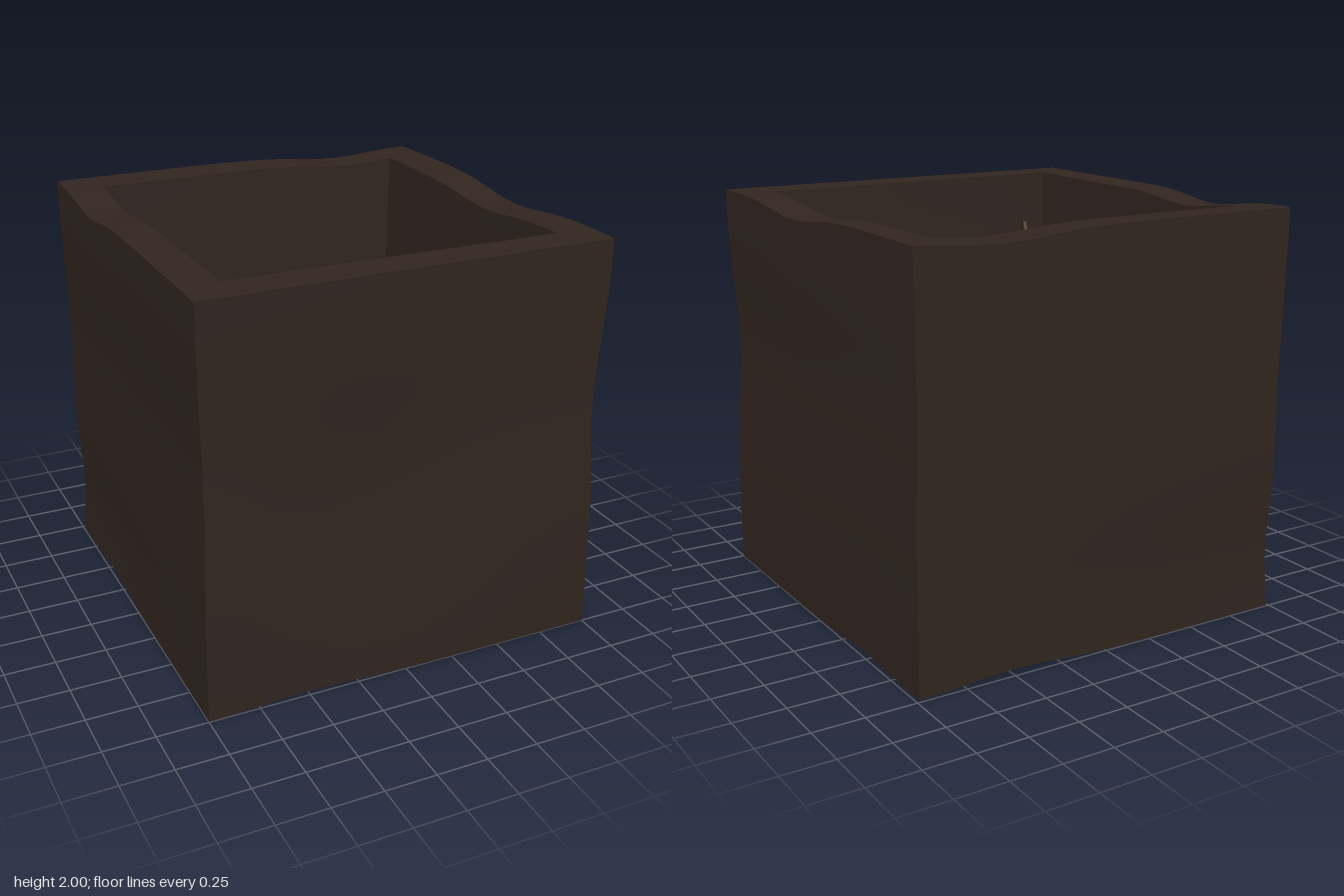
import * as THREE from 'three';

const mat = (color) => new THREE.MeshStandardMaterial({ color });
const WOOD = mat(0x32261f), STEM = mat(0x38230e);
const RED = mat(0x7c0c12), GREEN = mat(0x26dc34), LIME = mat(0x32e006);

const bump = (t, centre, width) => Math.exp(-(((t - centre) / width) ** 2));

// Hand-hewn unevenness: shallow dents in the rim, underside and sides
function warp(x, y, z) {
  const u = (x + 1) / 2, v = (z + 1) / 2, h = y / 2;
  const corner = (u * (1 - v)) ** 3;
  const rim = u * 0.05 * bump(z, 0.17, 0.34) + (1 - u) * 0.045 * bump(z, -0.45, 0.25)
    + (1 - v) * 0.035 * bump(x, 0.55, 0.3) + 0.015 * corner;
  const base = v * 0.022 * bump(x, -0.5, 0.35) + (1 - v) * 0.03 * bump(x, 0.5, 0.35)
    + u * 0.025 * bump(z, -0.5, 0.3) + (1 - u) * 0.03 * bump(z, -0.4, 0.26);
  const dentX = u * (0.012 + 0.023 * v) * bump(y, 1.2, 0.4) + 0.014 * corner
    - (1 - u) * (0.018 * bump(y, 1.15, 0.45) + 0.025 * (1 - v) * bump(y, 0.3, 0.3));
  const dentZ = v * (0.015 * bump(y, 1.25, 0.45) + 0.025 * bump(y, 0.9, 0.45) * bump(x, -0.15, 0.5))
    - (1 - v) * (0.012 * u * bump(y, 0.9, 0.5) + 0.02 * (1 - u) * bump(y, 0.3, 0.3)) - 0.008 * corner;
  return [x - dentX, y - h * rim + (1 - h) * base, z - dentZ];
}

// One crate face, placed and turned first, then warped in crate space
function face(name, w, h, centre, turnX, turnY) {
  const geo = new THREE.PlaneGeometry(w, h, Math.max(2, Math.round(w * 14)), Math.max(2, Math.round(h * 14)));
  geo.rotateX(turnX).rotateY(turnY).translate(...centre);
  const p = geo.attributes.position;
  for (let i = 0; i < p.count; i++) p.setXYZ(i, ...warp(p.getX(i), p.getY(i), p.getZ(i)));
  geo.computeVertexNormals();
  const mesh = new THREE.Mesh(geo, WOOD);
  mesh.name = name;
  return mesh;
}

// Apple body: soft dimple at both ends, slightly narrower front to back
const profile = new THREE.SplineCurve([
  [0, -0.25], [0.08, -0.28], [0.2, -0.27], [0.33, -0.14], [0.392, 0.04],
  [0.355, 0.17], [0.26, 0.255], [0.17, 0.272], [0.08, 0.255], [0, 0.24],
].map(([r, y]) => new THREE.Vector2(r, y)));
const appleGeo = new THREE.LatheGeometry(
  profile.getPoints(36).map((q) => new THREE.Vector2(Math.max(0, q.x), q.y)), 48);
appleGeo.scale(1, 1, 0.955);

// Stem leaning forwards
const stemGeo = new THREE.CylinderGeometry(0.02, 0.018, 0.24, 10);
stemGeo.rotateX(0.27).translate(0, 0.305, 0.045);

function apple(name, material, position, tilt = [0, 0, 0]) {
  const g = new THREE.Group();
  g.name = name;
  const body = new THREE.Mesh(appleGeo, material);
  body.name = 'appleBody';
  const stem = new THREE.Mesh(stemGeo, STEM);
  stem.name = 'appleStem';
  g.add(body, stem);
  g.position.set(...position);
  g.rotation.set(...tilt);
  return g;
}

export function createModel() {
  const model = new THREE.Group();
  model.name = 'crateOfApples';

  // Open crate: outer wall, inner wall and rim strip on each side
  const t = 0.185, inner = 2 - 2 * t, i = 1 - t, c = 1 - t / 2, depth = 2 - t;
  const crate = new THREE.Group();
  crate.name = 'crate';
  ['front', 'left', 'back', 'right'].forEach((side, k) => {
    const a = k * Math.PI / 2, sx = Math.round(Math.sin(a)), sz = Math.round(Math.cos(a));
    crate.add(
      face(side + 'OuterWall', 2, 2, [sx, 1, sz], 0, a),
      face(side + 'InnerWall', inner, depth, [sx * i, t + depth / 2, sz * i], 0, a + Math.PI),
      face(side + 'Rim', k % 2 ? inner : 2, t, [sx * c, 2, sz * c], -Math.PI / 2, a),
    );
  });
  crate.add(
    face('floor', inner, inner, [0, t, 0], -Math.PI / 2, 0),
    face('underside', 2, 2, [0, 0, 0], Math.PI / 2, 0),
  );

  // Lower layer, then the three apples resting on it
  const apples = new THREE.Group();
  apples.name = 'apples';
  apples.add(
    apple('lowerRedApple', RED, [-0.05, 0.6, 0.22]),
    apple('backRedApple', RED, [-0.34, 0.73, -0.38], [0, 0, -0.22]),
    apple('backGreenApple', LIME, [0.345, 0.64, -0.425]),
    apple('frontRedApple', RED, [0.393, 1.07, 0.43]),
    apple('middleRedApple', RED, [0.113, 1.16, -0.2]),
    apple('frontGreenApple', GREEN, [-0.422, 1.385, 0.31]),
  );

  model.add(crate, apples);
  return model;
}
